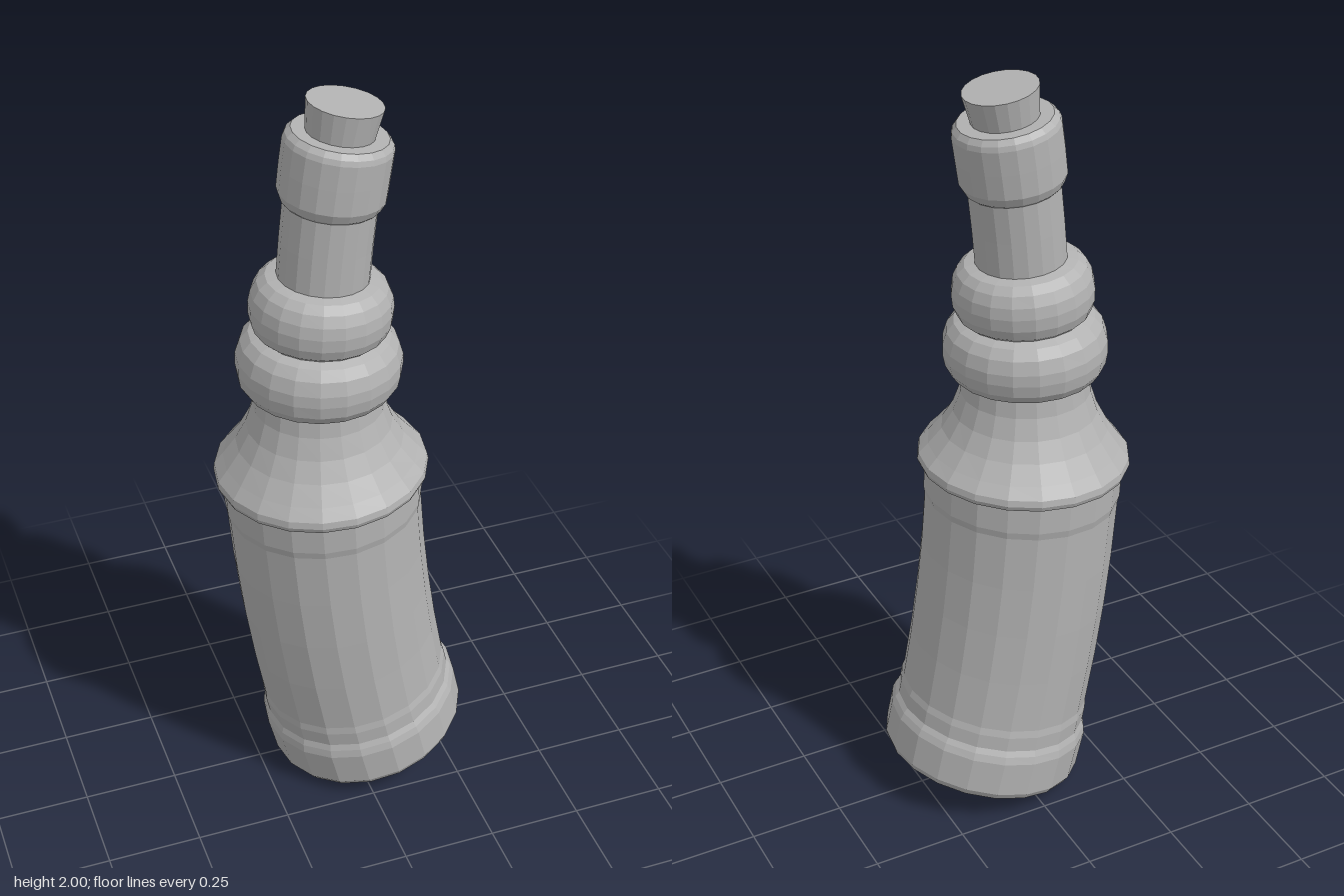
import * as THREE from 'three';

const SEGMENTS = 20;
const BEND_RADIUS = 4.6;   // the bottle's axis follows a large circular arc
const BEND_Y = 1.18;       // height where the axis is vertical
const BEND_X = -0.066;

// Tilt and shift every horizontal ring so that it sits square to the arc
function bend(geometry) {
  const p = geometry.attributes.position;
  for (let i = 0; i < p.count; i++) {
    const x = p.getX(i), y = p.getY(i);
    const sin = (BEND_Y - y) / BEND_RADIUS;
    const cos = Math.sqrt(1 - sin * sin);
    p.setX(i, BEND_X + BEND_RADIUS * (1 - cos) + x * cos);
    p.setY(i, y + x * sin);
  }
  return geometry;
}

export function createModel() {
  const group = new THREE.Group();
  group.name = 'bentBottle';
  const grey = new THREE.MeshStandardMaterial({ color: 0xb2b2b2, flatShading: true });
  grey.name = 'grey';

  // Profiles are [radius, height] from bottom to top
  const add = (name, profile) => {
    const points = profile.map(([r, y]) => new THREE.Vector2(r, y));
    const geometry = bend(new THREE.LatheGeometry(points, SEGMENTS)).toNonIndexed();
    geometry.computeVertexNormals();
    const mesh = new THREE.Mesh(geometry, grey);
    mesh.name = name;
    group.add(mesh);
  };

  // Closed foot with a raised rim
  add('base', [[0, 0.066], [0.26, 0.066], [0.271, 0.085], [0.272, 0.18],
    [0.266, 0.2], [0.258, 0.215], [0.258, 0.255]]);

  // Body with a shallow recessed label band
  add('body', [[0.258, 0.255], [0.254, 0.275], [0.254, 0.42], [0.254, 0.565],
    [0.254, 0.71], [0.254, 0.865], [0.258, 0.885], [0.258, 0.955]]);

  // Flared shoulder
  add('shoulder', [[0.258, 0.955], [0.272, 0.962], [0.277, 0.975], [0.274, 0.992],
    [0.25, 1.02], [0.215, 1.065], [0.187, 1.115], [0.168, 1.17], [0.161, 1.222]]);

  // Two stacked bulges
  add('lowerBulge', [[0.161, 1.222], [0.188, 1.228], [0.204, 1.252], [0.21, 1.285],
    [0.209, 1.315], [0.198, 1.35], [0.178, 1.374], [0.155, 1.384]]);
  add('upperBulge', [[0.155, 1.384], [0.168, 1.395], [0.178, 1.422], [0.18, 1.455],
    [0.175, 1.485], [0.162, 1.512], [0.142, 1.53], [0.115, 1.536]]);

  // Straight neck and lip collar
  add('neck', [[0.115, 1.536], [0.115, 1.63], [0.115, 1.728]]);
  add('collar', [[0.115, 1.728], [0.123, 1.735], [0.133, 1.757], [0.134, 1.82],
    [0.134, 1.882], [0.13, 1.895], [0.118, 1.908], [0.08, 1.908]]);

  // Tapered stopper
  add('stopper', [[0.083, 1.9], [0.094, 1.983], [0, 1.983]]);

  return group;
}
